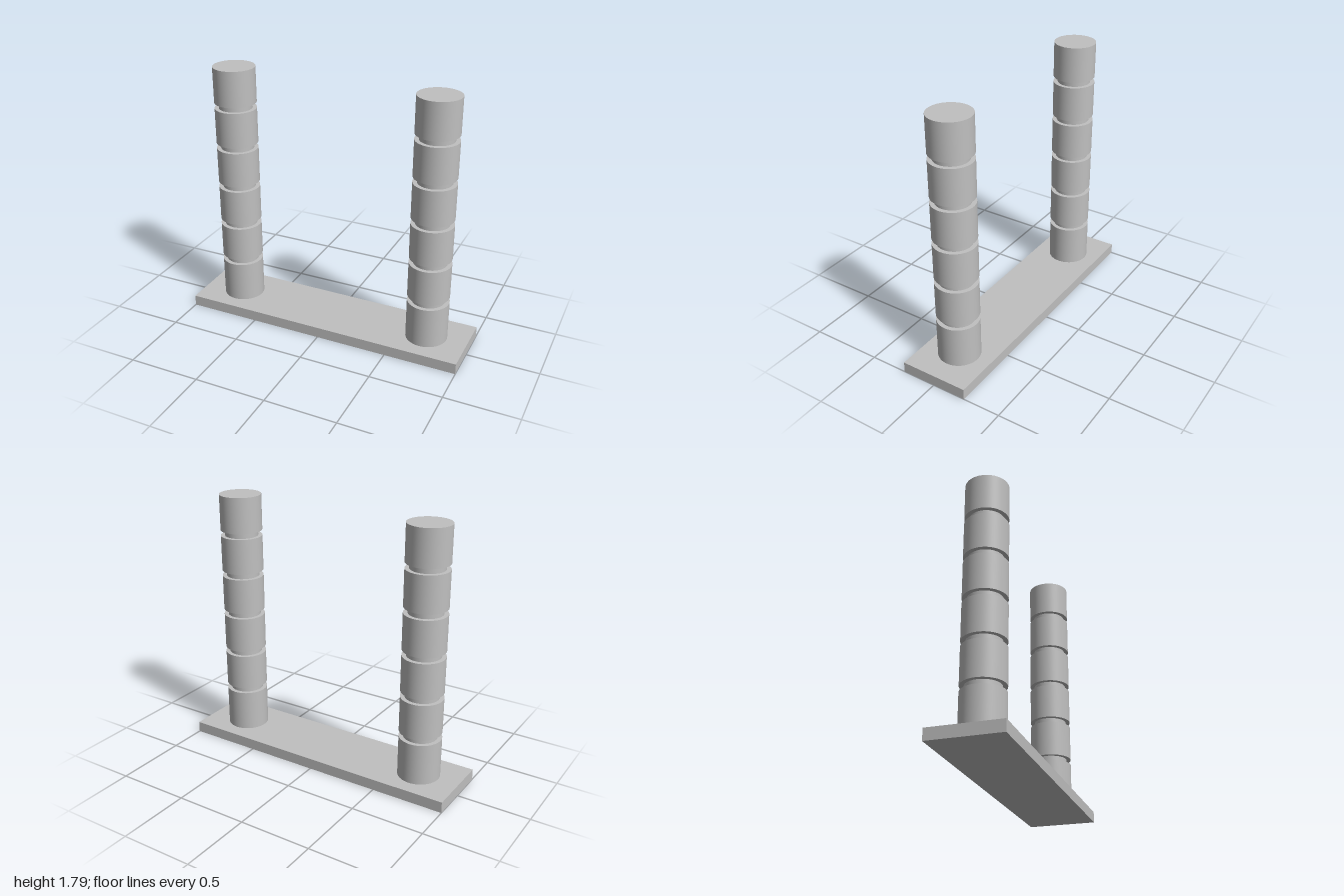
import * as THREE from 'three';

const BASE_TOP = 0.076;
const DRUM_R = 0.143, NECK_R = 0.114;
const PITCH = 0.286, GAP = 0.039, DRUMS = 6;
const COLUMN_X = 0.714;

export function createModel() {
  const model = new THREE.Group();
  model.name = 'twinColumns';
  const grey = new THREE.MeshStandardMaterial({ color: 0xc0c0c0 });
  grey.name = 'grey';

  const add = (parent, name, geometry, y) => {
    const mesh = new THREE.Mesh(geometry, grey);
    mesh.name = name;
    mesh.position.y = y;
    parent.add(mesh);
  };
  const cylinder = (r, h, open = false) => new THREE.CylinderGeometry(r, r, h, 64, 1, open);

  // Flat base plate
  add(model, 'basePlate', new THREE.BoxGeometry(2, BASE_TOP, 0.476), BASE_TOP / 2);

  // Two columns of stacked drums with recessed necks between them
  for (const side of [-1, 1]) {
    const column = new THREE.Group();
    column.name = side > 0 ? 'leftColumn' : 'rightColumn';
    column.position.x = side * COLUMN_X;
    for (let i = 0; i < DRUMS; i++) {
      const top = BASE_TOP + (i + 1) * PITCH;
      const h = i === 0 ? PITCH : PITCH - GAP;
      add(column, 'drum', cylinder(DRUM_R, h), top - h / 2);
      if (i < DRUMS - 1) add(column, 'neck', cylinder(NECK_R, GAP, true), top + GAP / 2);
    }
    model.add(column);
  }
  return model;
}
